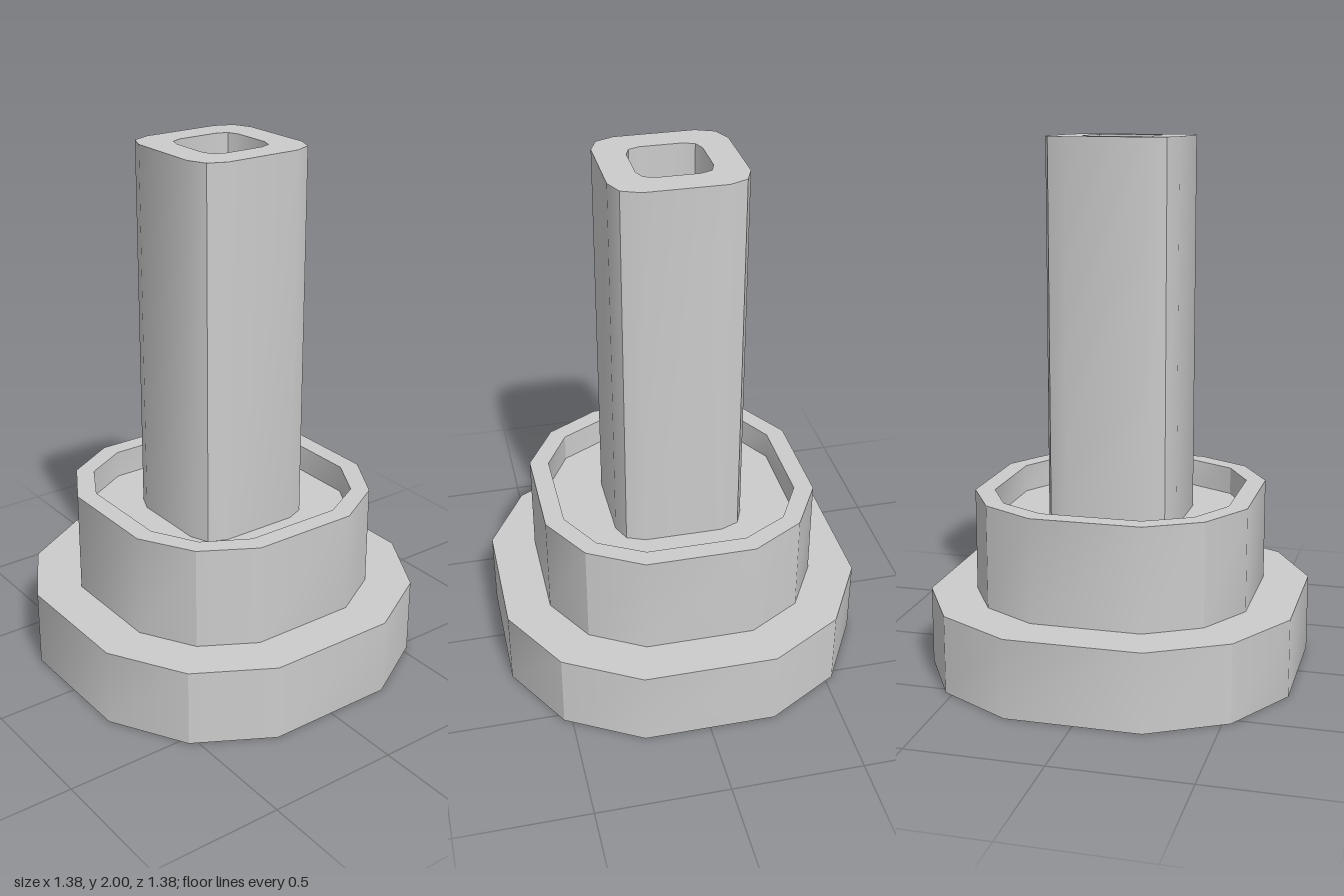
import * as THREE from 'three';
import { toCreasedNormals } from 'three/addons/utils/BufferGeometryUtils.js';

const material = new THREE.MeshStandardMaterial({ color: 0xcccccc, side: THREE.DoubleSide });

// Twelve-sided outline with four-fold symmetry: flat side at distance f,
// half as long as h, and a corner point at (c, c)
function outline(f, h, c) {
  const points = [];
  for (let q = 0; q < 4; q++) {
    const cos = Math.round(Math.cos(q * Math.PI / 2));
    const sin = Math.round(Math.sin(q * Math.PI / 2));
    for (const [x, z] of [[f, -h], [f, h], [c, c]]) {
      points.push([x * cos - z * sin, x * sin + z * cos]);
    }
  }
  return points;
}

// Thin sheet running through a list of [outline, height] rings
function sheet(name, rings) {
  const pos = [];
  for (let r = 0; r < rings.length - 1; r++) {
    const [low, y0] = rings[r];
    const [high, y1] = rings[r + 1];
    for (let i = 0; i < low.length; i++) {
      const j = (i + 1) % low.length;
      const a = [low[i][0], y0, low[i][1]];
      const b = [low[j][0], y0, low[j][1]];
      const c = [high[j][0], y1, high[j][1]];
      const d = [high[i][0], y1, high[i][1]];
      pos.push(...a, ...d, ...b, ...b, ...d, ...c);
    }
  }
  const geometry = new THREE.BufferGeometry();
  geometry.setAttribute('position', new THREE.Float32BufferAttribute(pos, 3));
  const mesh = new THREE.Mesh(toCreasedNormals(geometry, Math.PI / 6), material);
  mesh.name = name;
  return mesh;
}

export function createModel() {
  const base = outline(0.69, 0.25, 0.53);
  const collar = outline(0.52, 0.205, 0.405);
  const recess = outline(0.448, 0.187, 0.355);
  const post = outline(0.246, 0.148, 0.217);
  const bore = outline(0.135, 0.077, 0.119);
  const baseTop = 0.295, collarTop = 0.685, floorY = 0.58, top = 2;

  const group = new THREE.Group();
  group.name = 'hollowPostOnSteppedBase';
  group.add(
    // Wide open-bottomed foot and its ledge
    sheet('base', [[base, 0], [base, baseTop], [collar, baseTop]]),
    // Collar with a narrow rim and a sunken floor
    sheet('collar', [[collar, baseTop], [collar, collarTop], [recess, collarTop], [recess, floorY], [post, floorY]]),
    // Rounded-square tube, open right through
    sheet('post', [[post, floorY], [post, top], [bore, top], [bore, floorY]])
  );
  return group;
}
